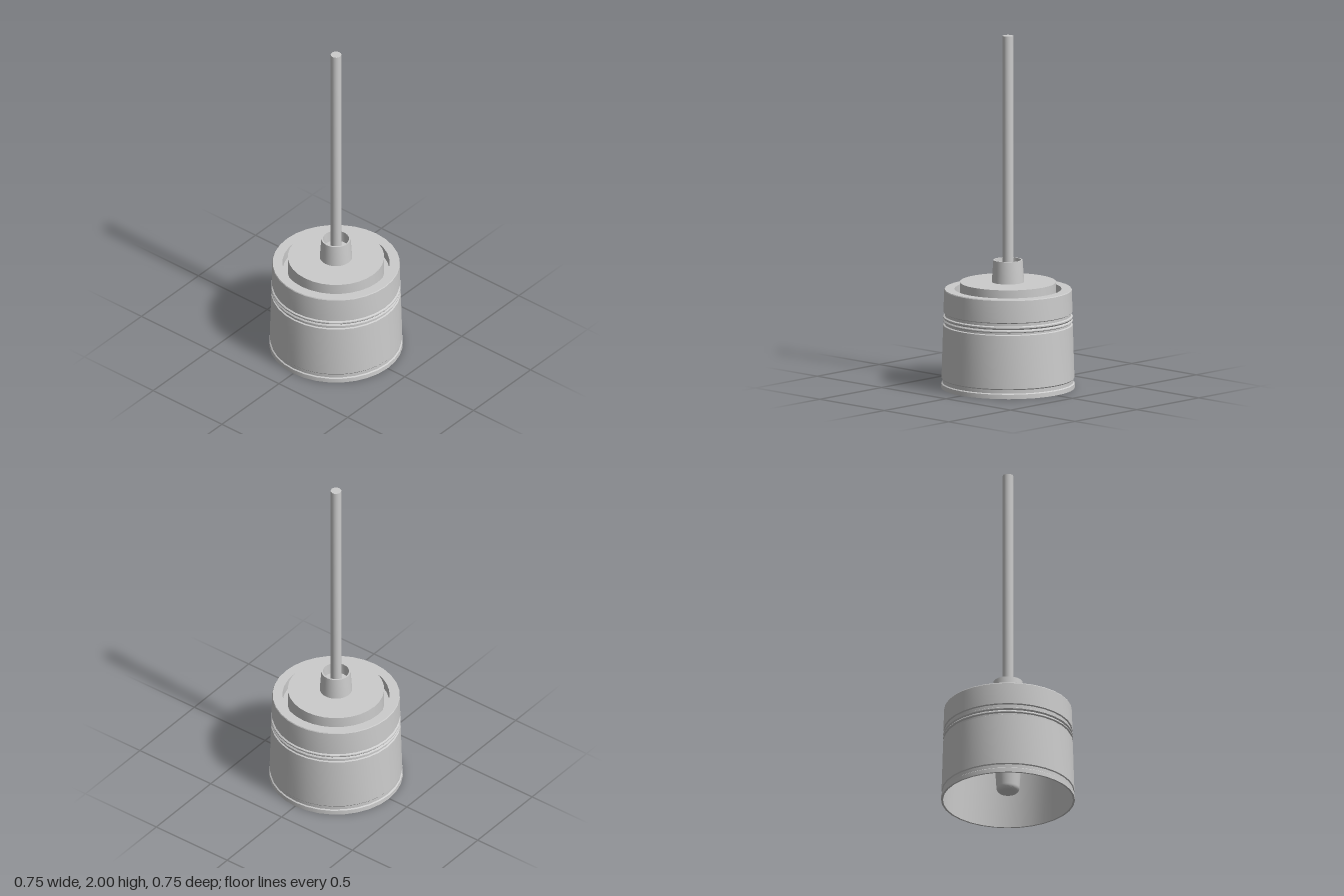
import * as THREE from 'three';
import { toCreasedNormals } from 'three/addons/utils/BufferGeometryUtils.js';

const material = new THREE.MeshStandardMaterial({ color: 0xcccccc, side: THREE.DoubleSide });

// Turned part: profile of [radius, height] pairs, outside running upward.
function turned(name, profile, segments = 32) {
  const points = profile.map(([r, y]) => new THREE.Vector2(r, y));
  const geometry = toCreasedNormals(new THREE.LatheGeometry(points, segments), 0.5);
  const mesh = new THREE.Mesh(geometry, material);
  mesh.name = name;
  return mesh;
}

export function createModel() {
  const group = new THREE.Group();
  group.name = 'pendantLamp';

  // Hollow shade: foot lip, tapered wall, beaded groove, thick top rim
  group.add(turned('shade', [
    [0.364, 0], [0.375, 0], [0.374, 0.025], [0.367, 0.03], [0.367, 0.05], [0.372, 0.056],
    [0.363, 0.358], [0.355, 0.362], [0.355, 0.372],
    [0.363, 0.377], [0.363, 0.382], [0.356, 0.39], [0.363, 0.398], [0.363, 0.405],
    [0.354, 0.41], [0.354, 0.425], [0.361, 0.43],
    [0.358, 0.555], [0.355, 0.56], [0.30, 0.56], [0.30, 0.50], [0.0, 0.50],
  ]));

  // Inner wall and ceiling
  group.add(turned('shadeLining', [[0, 0.48], [0.352, 0.48], [0.364, 0]].reverse()));

  // Raised disc set inside the rim
  group.add(turned('cap', [[0.27, 0.50], [0.27, 0.60], [0, 0.60]]));

  // Tapered cord cup, open at the top
  group.add(turned('cordCup', [
    [0.091, 0.60], [0.082, 0.725], [0.073, 0.725], [0.071, 0.66], [0, 0.66],
  ]));

  // Suspension rod
  group.add(turned('rod', [[0.03, 0.64], [0.03, 2], [0, 2]], 16));

  // Lamp with a rounded end, hanging inside the shade
  const bulb = [[0, 0.045]];
  for (let i = 0; i <= 6; i++) {
    const a = (i / 6) * Math.PI / 2;
    bulb.push([0.038 + 0.027 * Math.sin(a), 0.075 - 0.03 * Math.cos(a)]);
  }
  bulb.push([0.09, 0.48]);
  group.add(turned('bulb', bulb));

  return group;
}
